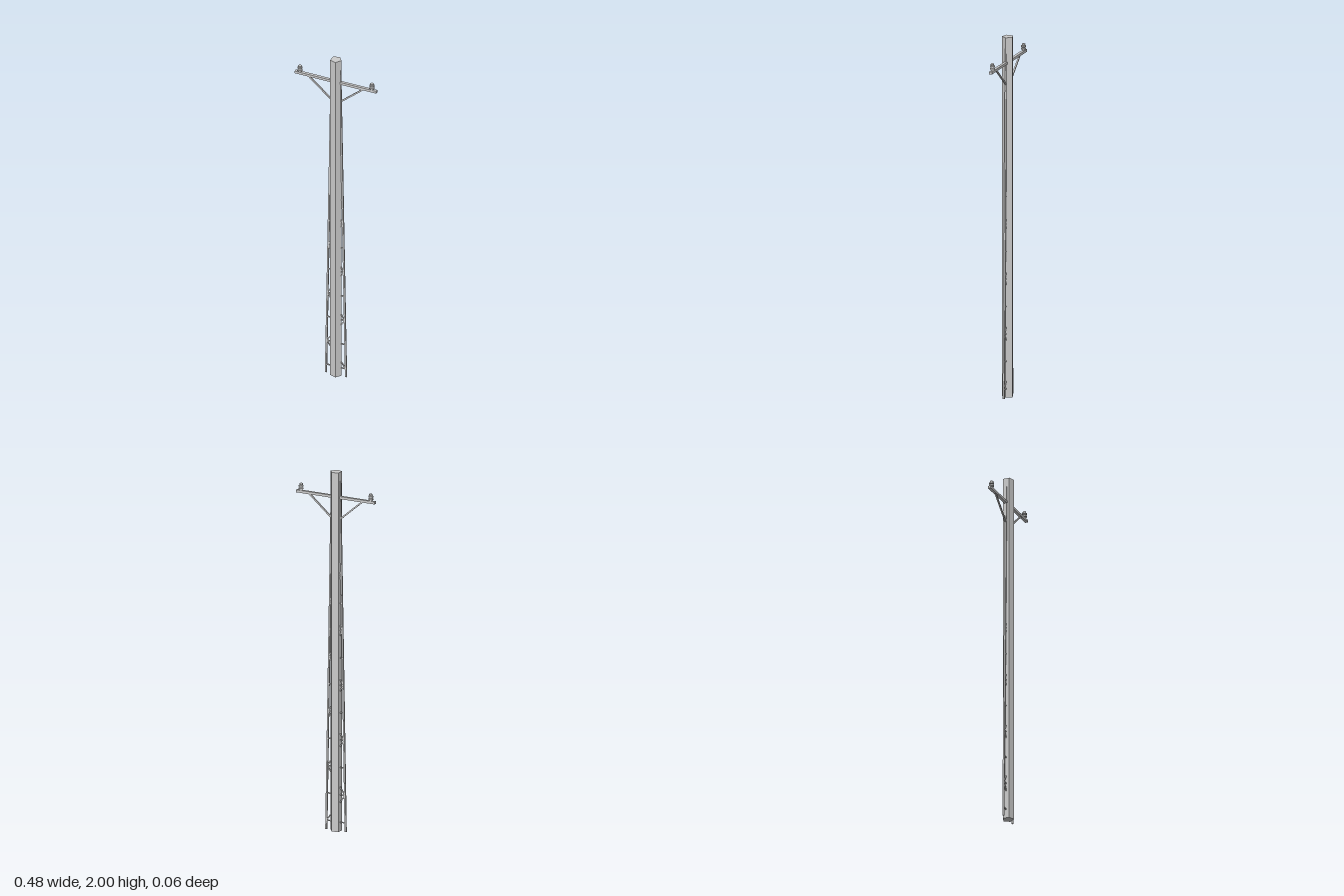
import * as THREE from 'three';

const material = new THREE.MeshStandardMaterial({ color: 0xcccccc, flatShading: true });

function addMesh(parent, name, geometry, x = 0, y = 0, z = 0) {
  const mesh = new THREE.Mesh(geometry, material);
  mesh.name = name;
  mesh.position.set(x, y, z);
  parent.add(mesh);
  return mesh;
}

// Square bar running between two points of the z = 0 plane
function addBar(parent, name, [x0, y0], [x1, y1], width) {
  const dx = x1 - x0, dy = y1 - y0;
  const bar = addMesh(parent, name, new THREE.BoxGeometry(width, Math.hypot(dx, dy), width),
    (x0 + x1) / 2, (y0 + y1) / 2);
  bar.rotation.z = Math.atan2(-dx, dy);
  return bar;
}

export function createModel() {
  const model = new THREE.Group();
  model.name = 'utilityPole';

  // Five-sided pole with one edge towards +x
  addMesh(model, 'pole', new THREE.CylinderGeometry(0.032, 0.032, 2, 5, 1, false, Math.PI / 2), 0, 1, 0);

  // Flat lattice running up through the pole, narrowing to the top
  const lattice = new THREE.Group();
  lattice.name = 'lattice';
  model.add(lattice);
  const top = 1.95;
  const legX = (y) => 0.059 - 0.0175 * y;
  for (const side of [-1, 1]) {
    addBar(lattice, 'leg', [side * legX(0), 0], [side * legX(top), top], 0.009);
  }
  const step = 0.1525;
  for (let i = 0; i < 12; i++) {
    const y = 0.05 + i * step;
    addBar(lattice, 'rung', [-legX(y), y], [legX(y), y], 0.006);
    // Diagonals zigzag from side to side
    if (i < 11) {
      const side = i % 2 ? -1 : 1;
      addBar(lattice, 'diagonal', [side * legX(y), y], [-side * legX(y + step), y + step], 0.006);
    }
  }

  // Crossarm
  addMesh(model, 'crossarm', new THREE.BoxGeometry(0.48, 0.014, 0.016), 0, 1.859, 0);

  // Insulator outline: stacked sheds on a narrow core
  const profile = [
    [0, 0], [0.008, 0], [0.008, 0.006], [0.0135, 0.008], [0.0135, 0.014], [0.008, 0.016],
    [0.008, 0.02], [0.0135, 0.022], [0.0135, 0.028], [0.008, 0.03], [0.0095, 0.033],
    [0.0095, 0.038], [0.003, 0.042], [0, 0.042],
  ].map(([r, y]) => new THREE.Vector2(r, y));
  const insulator = new THREE.LatheGeometry(profile, 16);

  for (const side of [-1, 1]) {
    addBar(model, 'brace', [side * 0.163, 1.855], [side * 0.022, 1.735], 0.008);
    addMesh(model, 'insulator', insulator, side * 0.212, 1.865, 0);
  }

  return model;
}
